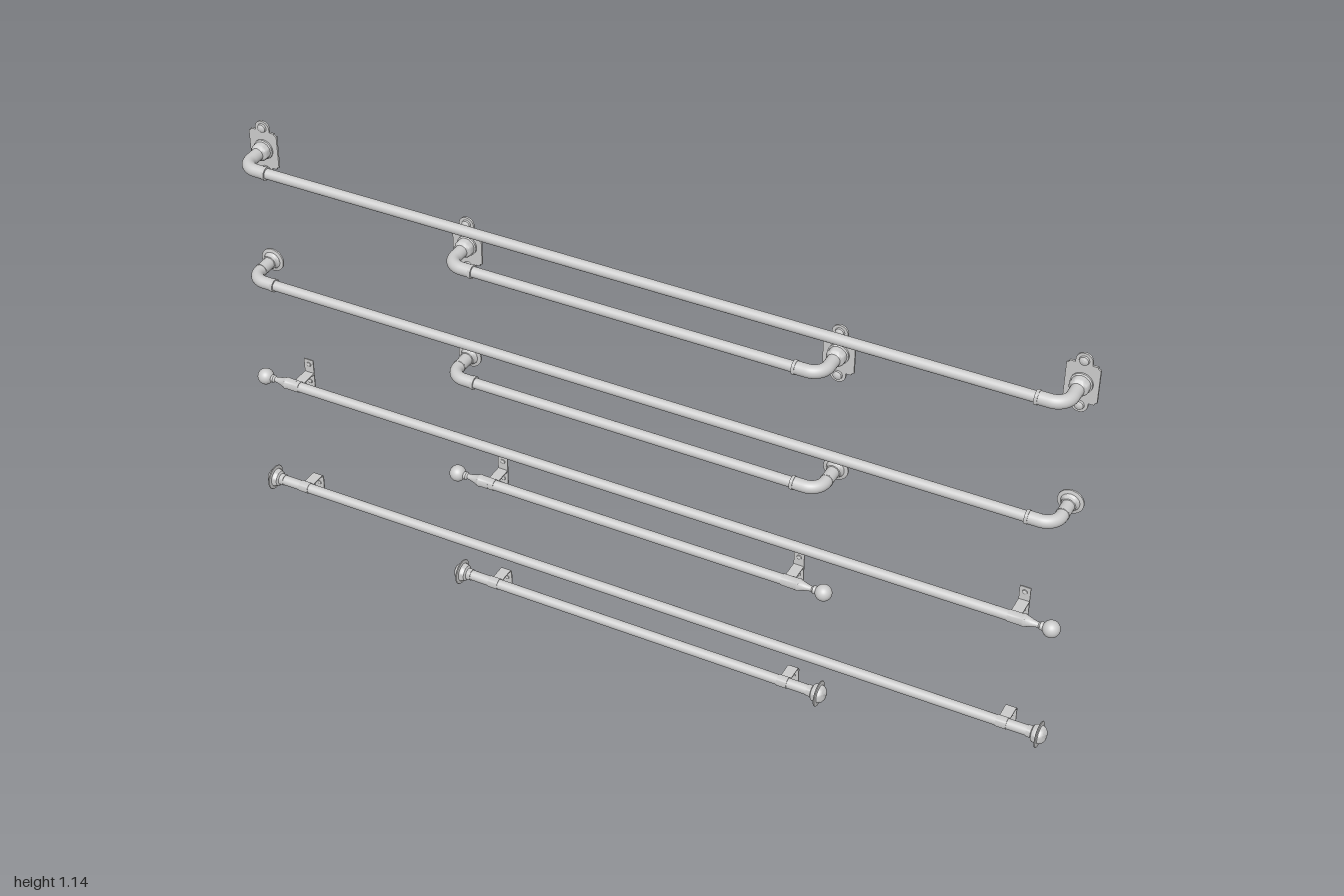
import * as THREE from 'three';
import { toCreasedNormals } from 'three/addons/utils/BufferGeometryUtils.js';

const material = new THREE.MeshStandardMaterial({ color: 0xcccccc });
const BACK = -0.052; // wall plane
const PIPE_Z = 0.038; // axis of the elbow-mounted bars
const ROD_Z = 0.01; // axis of the bracket-mounted rods
const ROD_R = 0.0122;

function add(parent, name, geometry, x = 0, y = 0, z = 0) {
  const mesh = new THREE.Mesh(geometry, material);
  mesh.name = name;
  mesh.position.set(x, y, z);
  parent.add(mesh);
  return mesh;
}

// Turned part from [radius, height] pairs, axis along x or z
function turned(points, axis, segments = 32) {
  const lathe = new THREE.LatheGeometry(points.map(p => new THREE.Vector2(p[0], p[1])), segments);
  const geometry = toCreasedNormals(lathe, 0.6);
  return axis === 'x' ? geometry.rotateZ(-Math.PI / 2) : geometry.rotateX(Math.PI / 2);
}

function rod(parent, half, z) {
  add(parent, 'rod', new THREE.CylinderGeometry(ROD_R, ROD_R, half * 2, 32).rotateZ(Math.PI / 2), 0, 0, z);
}

function screw(parent, x, y, z, r) {
  add(parent, 'screw', turned([[r, 0], [r * 0.9, r * 0.35], [r * 0.5, r * 0.65], [0, r * 0.75]], 'z', 16), x, y, z);
}

// Pipe from the wall that bends inwards to meet the bar
function elbow(parent, r) {
  const path = new THREE.CurvePath();
  const v = (x, z) => new THREE.Vector3(x, 0, z);
  const bend = 0.034;
  path.add(new THREE.LineCurve3(v(0, BACK + 0.004), v(0, PIPE_Z - bend)));
  path.add(new THREE.CubicBezierCurve3(v(0, PIPE_Z - bend), v(0, PIPE_Z - bend * 0.45),
    v(-bend * 0.45, PIPE_Z), v(-bend, PIPE_Z)));
  path.add(new THREE.LineCurve3(v(-bend, PIPE_Z), v(-0.058, PIPE_Z)));
  add(parent, 'elbow', new THREE.TubeGeometry(path, 36, r, 24));
  const collar = r + 0.0012;
  add(parent, 'elbowCollar', turned([[0, 0], [collar, 0], [collar, 0.007], [0, 0.007]], 'x'), -0.064, 0, PIPE_Z);
}

// Rectangular wall plate with a screw lobe above and below
function lobedPlate() {
  const w = 0.036, h = 0.046, notch = 0.006, lobe = 0.018;
  const s = new THREE.Shape();
  s.moveTo(-w, -h + notch);
  s.quadraticCurveTo(-w + notch, -h + notch, -w + notch, -h);
  s.lineTo(-lobe, -h);
  s.absarc(0, -0.053, lobe, Math.PI, Math.PI * 2, false);
  s.lineTo(lobe, -h);
  s.lineTo(w - notch, -h);
  s.quadraticCurveTo(w - notch, -h + notch, w, -h + notch);
  s.lineTo(w, h - notch);
  s.quadraticCurveTo(w - notch, h - notch, w - notch, h);
  s.lineTo(lobe, h);
  s.absarc(0, 0.053, lobe, 0, Math.PI, false);
  s.lineTo(-lobe, h);
  s.lineTo(-w + notch, h);
  s.quadraticCurveTo(-w + notch, h - notch, -w, h - notch);
  s.closePath();
  return new THREE.ExtrudeGeometry(s, { depth: 0.005, bevelEnabled: false, curveSegments: 10 });
}

function plateMount(parent) {
  add(parent, 'wallPlate', lobedPlate(), 0, 0, BACK);
  add(parent, 'mountCup', turned([[0, 0], [0.024, 0], [0.024, 0.005], [0.021, 0.007], [0.021, 0.019],
    [0.019, 0.023], [0.0165, 0.026], [0.0145, 0.028], [0, 0.028]], 'z'), 0, 0, BACK + 0.004);
  for (const y of [-0.054, 0.054]) screw(parent, 0, y, BACK + 0.005, 0.011);
  elbow(parent, 0.0148);
}

function flangeMount(parent) {
  add(parent, 'roundFlange', turned([[0, 0], [0.029, 0], [0.029, 0.004], [0.021, 0.006], [0.0175, 0.011],
    [0.0165, 0.018], [0.0145, 0.019], [0, 0.019]], 'z'), 0, 0, BACK);
  add(parent, 'pipeRing', new THREE.TorusGeometry(0.0142, 0.0012, 8, 32), 0, 0, -0.001);
  elbow(parent, 0.0145);
}

// Ball on a waisted neck, tip at x = 0
function ballFinial(parent) {
  add(parent, 'finialBall', new THREE.SphereGeometry(0.0195, 32, 20), -0.0195, 0, ROD_Z);
  add(parent, 'finialNeck', turned([[0, -0.105], [0.0136, -0.105], [0.0136, -0.083], [0.0145, -0.081],
    [0.0145, -0.077], [0.013, -0.075], [0.009, -0.062], [0.0065, -0.051], [0.0065, -0.047],
    [0.0095, -0.043], [0.0095, -0.038], [0.007, -0.034], [0, -0.034]], 'x'), 0, 0, ROD_Z);
}

// Thin disc with a dome on its outer face, tip at x = 0
function discFinial(parent) {
  add(parent, 'discFinial', turned([[0, -0.045], [0.0136, -0.045], [0.0136, -0.034], [0.019, -0.031],
    [0.0215, -0.025], [0.0225, -0.02], [0.03, -0.019], [0.031, -0.0175], [0.03, -0.016], [0.0215, -0.015],
    [0.0205, -0.011], [0.017, -0.006], [0.011, -0.002], [0, 0]], 'x'), 0, 0, ROD_Z);
}

// Strip drawn in side profile [z, y], extruded across its width
function strip(points, width) {
  const shape = new THREE.Shape(points.map(p => new THREE.Vector2(p[0], p[1])));
  return new THREE.ExtrudeGeometry(shape, { depth: width, bevelEnabled: false })
    .rotateY(-Math.PI / 2).translate(width / 2, 0, 0);
}

function cradle(parent, x) {
  add(parent, 'rodSleeve', turned([[0, -0.0125], [0.0134, -0.0125], [0.0134, 0.0125], [0, 0.0125]], 'x'), x, 0, ROD_Z);
}

function straightBracket(parent, x) {
  const t = 0.003;
  add(parent, 'bracketPlate', new THREE.BoxGeometry(0.025, 0.075, t), x, 0, BACK + t / 2);
  add(parent, 'bracketArm', new THREE.BoxGeometry(0.025, t, 0.055), x, 0, BACK + 0.0275);
  for (const y of [-0.024, 0.024]) screw(parent, x, y, BACK + t, 0.006);
  cradle(parent, x);
}

function bentBracket(parent, x) {
  const a = BACK, t = 0.003;
  add(parent, 'bentBracket', strip([[a, -0.065], [a + t, -0.065], [a + t, -0.009], [a + 0.005, -0.004],
    [a + 0.01, -0.0015], [0.003, -0.0015], [0.003, 0.0015], [a + 0.009, 0.0015], [a + 0.003, -0.002],
    [a, -0.008]], 0.025), x);
  for (const y of [-0.027, -0.052]) screw(parent, x, y, a + t, 0.005);
  cradle(parent, x);
}

// Same end part on both sides; half a turn about z mirrors it
function bothEnds(parent, name, x, build) {
  for (const side of [1, -1]) {
    const end = new THREE.Group();
    end.name = (side > 0 ? 'left' : 'right') + name;
    end.position.x = side * x;
    end.rotation.z = side > 0 ? 0 : Math.PI;
    build(end);
    parent.add(end);
  }
}

export function createModel() {
  const model = new THREE.Group();
  model.name = 'curtainRodSet';
  const bar = (name, y) => {
    const group = new THREE.Group();
    group.name = name;
    group.position.y = y;
    model.add(group);
    return group;
  };

  // Wrap-around bars held by elbows
  for (const [name, y, x, mount] of [
    ['longPlateBar', 1.065, 0.964, plateMount], ['shortPlateBar', 0.965, 0.444, plateMount],
    ['longFlangeBar', 0.765, 0.971, flangeMount], ['shortFlangeBar', 0.665, 0.451, flangeMount]]) {
    const group = bar(name, y);
    rod(group, x - 0.05, PIPE_Z);
    bothEnds(group, 'WallMount', x, mount);
  }

  // Straight rods with finials, held by brackets
  for (const [name, y, tip, bracketX, finial, bracket] of [
    ['longBallRod', 0.468, 1, 0.897, ballFinial, straightBracket],
    ['shortBallRod', 0.364, 0.482, 0.376, ballFinial, straightBracket],
    ['longDiscRod', 0.165, 1, 0.897, discFinial, bentBracket],
    ['shortDiscRod', 0.065, 0.482, 0.376, discFinial, bentBracket]]) {
    const group = bar(name, y);
    rod(group, tip - (finial === ballFinial ? 0.085 : 0.03), ROD_Z);
    bothEnds(group, 'Finial', tip, finial);
    for (const side of [1, -1]) bracket(group, side * bracketX);
  }
  return model;
}
